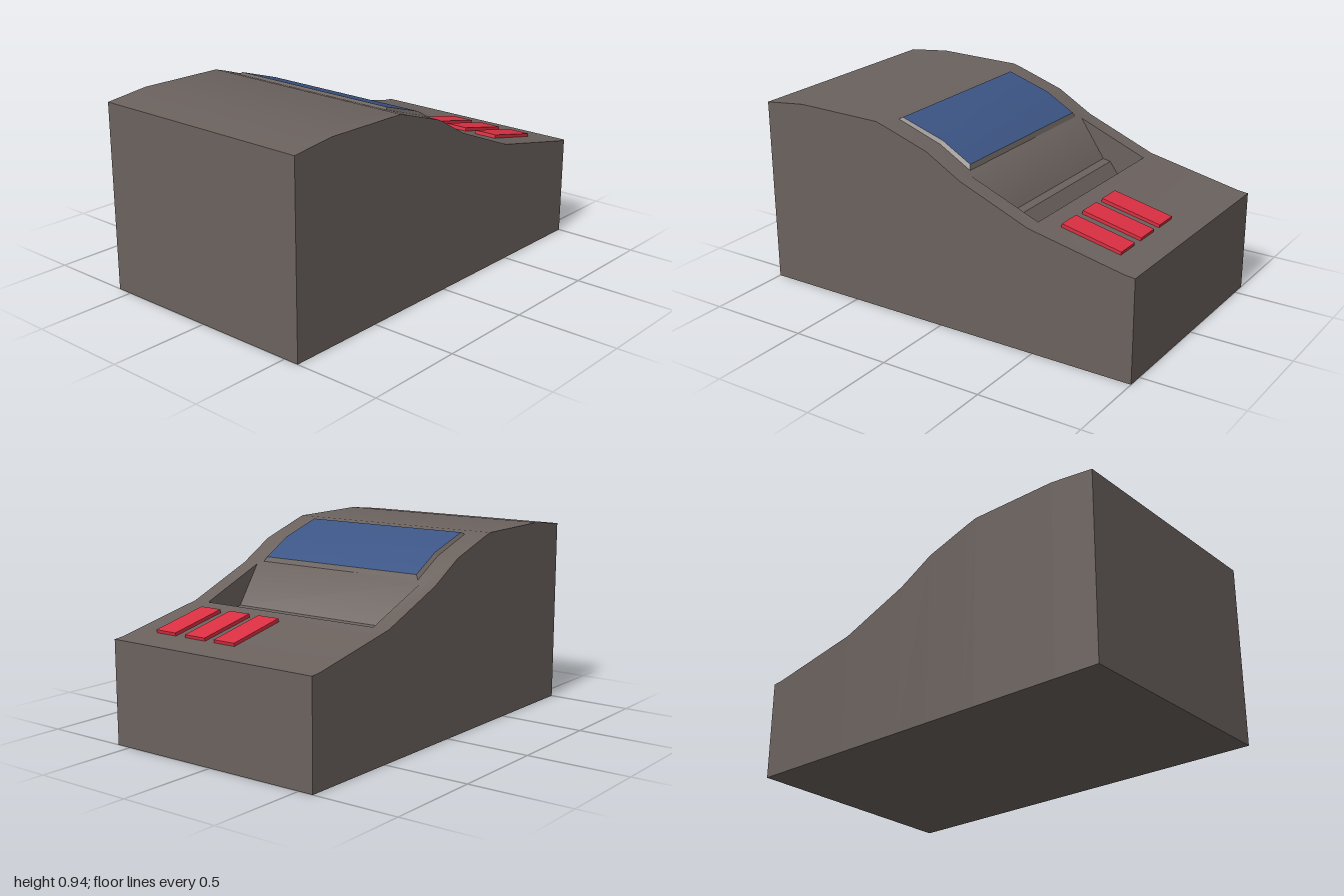
import * as THREE from 'three';
import { toCreasedNormals } from 'three/addons/utils/BufferGeometryUtils.js';

const W = 0.575, SLOT = 0.49;

// Collects triangles and quads into one geometry.
function builder() {
  const pos = [];
  const tri = (a, b, c) => pos.push(...a, ...b, ...c);
  const quad = (a, b, c, d) => { tri(a, b, c); tri(a, c, d); };
  const build = (crease) => {
    const g = new THREE.BufferGeometry();
    g.setAttribute('position', new THREE.Float32BufferAttribute(pos, 3));
    g.computeVertexNormals();
    return crease ? toCreasedNormals(g, crease) : g;
  };
  return { tri, quad, build };
}

// Sweeps one profile segment p-q (each [z, y]) across x0..x1.
function span(b, p, q, x0, x1) {
  b.quad([x0, p[1], p[0]], [x1, p[1], p[0]], [x1, q[1], q[0]], [x0, q[1], q[0]]);
}

function bodyGeometry() {
  const b = builder();
  const top = [[1, 0.915], [0.78, 0.94], [0.34, 0.935], [0.28, 0.917], [0.06, 0.845],
    [-0.12, 0.742], [-0.475, 0.6], [-0.95, 0.502], [-1, 0.497]];
  const slot = [[-0.12, 0.742], [-0.25, 0.552], [-0.29, 0.544], [-0.36, 0.45], [-0.475, 0.6]];
  const loop = [[1, 0], ...top, [-1, 0], [1, 0]];
  const columns = [-W, -SLOT, SLOT, W];

  // Outer skin in three columns, with the middle one open over the slot
  for (let i = 0; i < loop.length - 1; i++) {
    for (let c = 0; c < 3; c++) {
      if (c === 1 && loop[i][0] === -0.12) continue;
      span(b, loop[i], loop[i + 1], columns[c], columns[c + 1]);
    }
  }
  // Slot floor with its small ledge
  for (let i = 0; i < slot.length - 1; i++) span(b, slot[i], slot[i + 1], -SLOT, SLOT);

  // Outer side walls and inner slot walls
  for (const s of [1, -1]) {
    for (let i = 0; i < top.length - 1; i++) {
      const [p, q] = s > 0 ? [top[i], top[i + 1]] : [top[i + 1], top[i]];
      b.quad([s * W, 0, p[0]], [s * W, 0, q[0]], [s * W, q[1], q[0]], [s * W, p[1], p[0]]);
    }
    const v = slot.map(([z, y]) => [s * SLOT, y, z]);
    for (let i = 3; i > 0; i--) {
      if (s > 0) b.tri(v[4], v[i], v[i - 1]);
      else b.tri(v[4], v[i - 1], v[i]);
    }
  }
  return b.build(0.6);
}

// Raised bent screen: bevelled rim from the base line up to the glass line
const BASE = [[0.31, 0.915], [0.06, 0.84], [-0.102, 0.747]];
const GLASS = [[0.283, 0.932], [0.06, 0.862], [-0.09, 0.777]];
const BASE_X = 0.468, GLASS_X = 0.45;

function rimGeometry() {
  const b = builder();
  const ring = (line, x) => [
    ...line.map(([z, y]) => [x, y, z]),
    ...line.slice().reverse().map(([z, y]) => [-x, y, z]),
  ];
  const low = ring(BASE, BASE_X), high = ring(GLASS, GLASS_X);
  for (let i = 0; i < low.length; i++) {
    const j = (i + 1) % low.length;
    b.quad(low[i], low[j], high[j], high[i]);
  }
  return b.build();
}

function glassGeometry() {
  const b = builder();
  for (let i = 0; i < 2; i++) span(b, GLASS[i], GLASS[i + 1], -GLASS_X, GLASS_X);
  return b.build(0.6);
}

export function createModel() {
  const casing = new THREE.MeshStandardMaterial({ name: 'warm grey casing', color: 0x6b625e });
  const blue = new THREE.MeshStandardMaterial({ name: 'screen blue', color: 0x3c5585 });
  const red = new THREE.MeshStandardMaterial({ name: 'button red', color: 0xdc3042 });

  const model = new THREE.Group();
  model.name = 'deskTerminal';
  const add = (name, geometry, material) => {
    const mesh = new THREE.Mesh(geometry, material);
    mesh.name = name;
    model.add(mesh);
    return mesh;
  };

  add('body', bodyGeometry(), casing);
  add('screenRim', rimGeometry(), casing);
  add('screen', glassGeometry(), blue);

  // Three sloping buttons at the low end
  const buttonGeometry = new THREE.BoxGeometry(0.12, 0.03, 0.302);
  [0.03, 0.205, 0.385].forEach((x, i) => {
    const button = add(`button${i + 1}`, buttonGeometry, red);
    button.position.set(x, 0.552, -0.713);
    button.rotation.x = -0.21;
  });
  return model;
}
